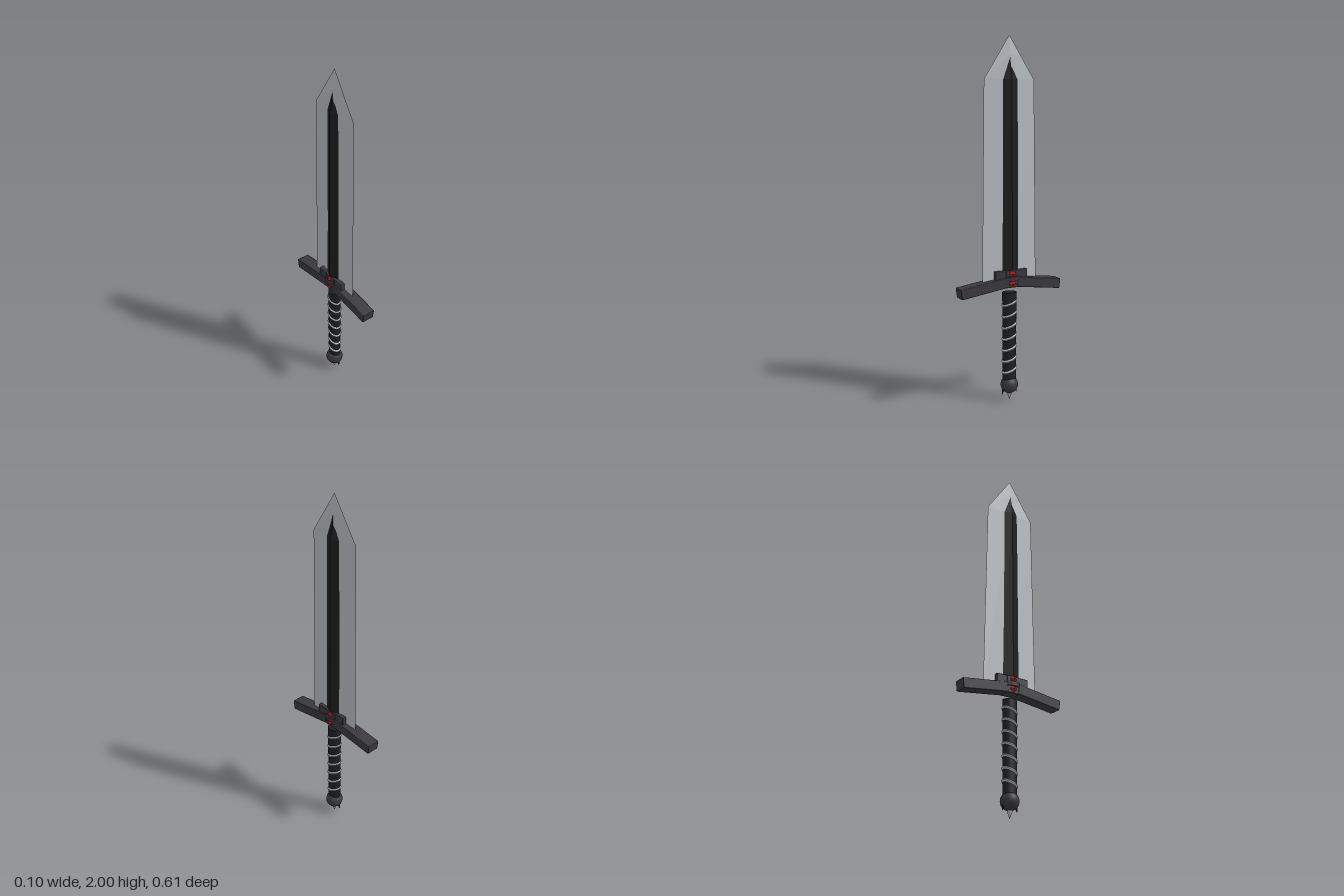
import * as THREE from 'three';
import { RoundedBoxGeometry } from 'three/addons/geometries/RoundedBoxGeometry.js';

const material = (name, color) => {
  const m = new THREE.MeshStandardMaterial({ color });
  m.name = name;
  return m;
};

// Lofts diamond cross-sections [y, halfX, halfZ] into a flat-faced solid
function diamondLoft(sections) {
  const rings = sections.map(([y, x, z]) => [[0, y, z], [x, y, 0], [0, y, -z], [-x, y, 0]]);
  const p = [];
  for (let s = 0; s < rings.length - 1; s++) {
    for (let i = 0; i < 4; i++) {
      const j = (i + 1) % 4, a = rings[s], b = rings[s + 1];
      p.push(...a[i], ...a[j], ...b[j], ...a[i], ...b[j], ...b[i]);
    }
  }
  const r = rings[0];
  p.push(...r[0], ...r[2], ...r[1], ...r[0], ...r[3], ...r[2]);
  const g = new THREE.BufferGeometry();
  g.setAttribute('position', new THREE.Float32BufferAttribute(p, 3));
  g.computeVertexNormals();
  return g;
}

export function createModel() {
  const steel = material('steel', 0xb6bbc0);
  const black = material('blackCore', 0x1e1e1e);
  const iron = material('darkIron', 0x3a383e);
  const leather = material('gripLeather', 0x1d2022);
  const red = material('redGem', 0xd4141e);

  const group = new THREE.Group();
  group.name = 'sword';
  const add = (name, geometry, mat, x = 0, y = 0, z = 0) => {
    const mesh = new THREE.Mesh(geometry, mat);
    mesh.name = name;
    mesh.position.set(x, y, z);
    group.add(mesh);
    return mesh;
  };
  const box = (x, y, z) => new RoundedBoxGeometry(x, y, z, 1, 0.004);

  // Blade and raised central core
  add('blade', diamondLoft([[0.68, 0.016, 0.165], [1.77, 0.015, 0.15], [1.9, 0.011, 0.065], [2, 0, 0]]), steel);
  add('bladeCore', diamondLoft([[0.7, 0.036, 0.072], [1.77, 0.03, 0.066], [1.89, 0.011, 0.004]]), black);

  // Guard: collar, centre and two drooping arms
  add('guardCollar', box(0.06, 0.055, 0.195), iron, 0, 0.718, 0);
  add('guardCentre', box(0.07, 0.095, 0.075), iron, 0, 0.697, 0);
  for (const s of [1, -1]) {
    const arm = add(s > 0 ? 'frontGuardArm' : 'backGuardArm', box(0.074, 0.056, 0.272), iron, 0, 0.661, s * 0.169);
    arm.rotation.x = s * 0.135;
  }

  // Six-sided boss around the guard centre
  const boss = new THREE.Shape([
    [0.047, 0.015], [0.036, 0.04], [-0.036, 0.04], [-0.047, 0.015],
    [-0.047, -0.015], [-0.036, -0.04], [0.036, -0.04], [0.047, -0.015],
  ].map(([x, z]) => new THREE.Vector2(x, z)));
  const bossGeometry = new THREE.ExtrudeGeometry(boss, { depth: 0.024, bevelEnabled: false });
  bossGeometry.rotateX(-Math.PI / 2);
  add('guardBoss', bossGeometry, iron, 0, 0.688, 0);

  // Gems on both sides
  for (const s of [1, -1]) {
    for (const y of [0.726, 0.673]) {
      const gem = new THREE.OctahedronGeometry(0.021);
      gem.scale(0.6, 1, 1);
      add('gem', gem, red, s * 0.036, y, 0);
    }
  }

  // Oval grip with slanted wire bands
  const grip = new THREE.CylinderGeometry(0.033, 0.031, 0.5, 20);
  grip.scale(1, 1, 1.24);
  add('grip', grip, leather, 0, 0.37, 0);
  for (let i = 0; i < 7; i++) {
    const band = new THREE.TorusGeometry(0.03, 0.008, 8, 28);
    band.rotateX(Math.PI / 2);
    band.scale(1, 1.1, 1.17);
    const p = band.attributes.position;
    for (let v = 0; v < p.count; v++) p.setY(v, p.getY(v) - p.getZ(v) * 0.36);
    band.computeVertexNormals();
    add('gripBand', band, steel, 0, 0.176 + i * 0.064, 0);
  }

  // Pommel with a centre spike and two side claws
  add('pommel', new THREE.SphereGeometry(0.049, 24, 16), iron, 0, 0.09, 0);
  const spike = new THREE.ConeGeometry(0.017, 0.05, 12);
  spike.rotateX(Math.PI);
  add('pommelSpike', spike, steel, 0, 0.025, 0);
  for (const s of [1, -1]) {
    const claw = new THREE.ConeGeometry(0.014, 0.05, 8);
    claw.rotateX(Math.PI);
    add('pommelClaw', claw, leather, 0, 0.06, s * 0.039).rotation.x = -s * 0.25;
  }
  return group;
}
